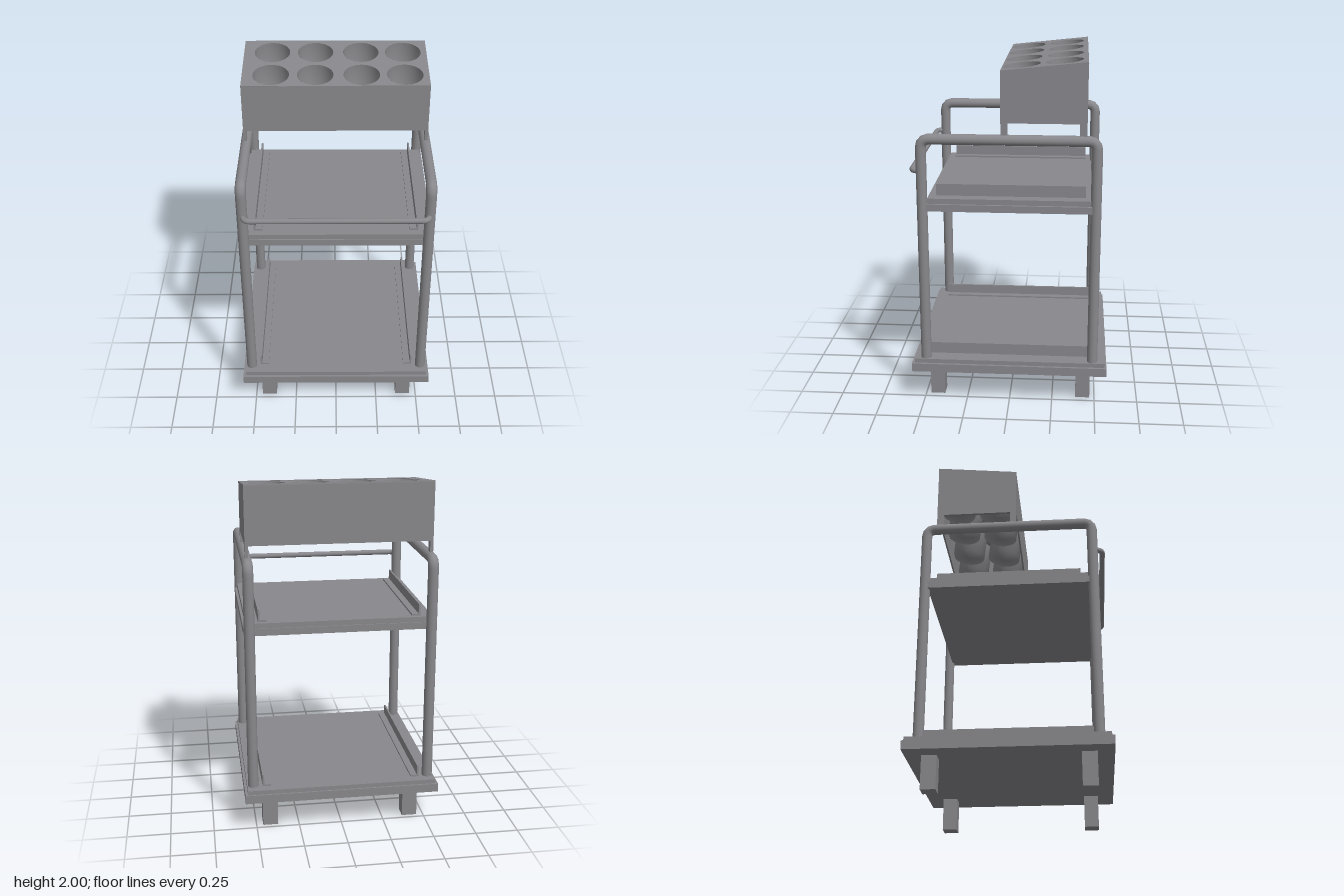
import * as THREE from 'three';

export function createModel() {
  const model = new THREE.Group();
  const grey = new THREE.MeshStandardMaterial({ color: 0x88878b, side: THREE.DoubleSide });
  grey.name = 'steel grey';

  const add = (name, geometry, parent = model) => {
    const mesh = new THREE.Mesh(geometry, grey);
    mesh.name = name;
    parent.add(mesh);
    return mesh;
  };
  // Box given by its limits on each axis
  const box = (name, x0, x1, y0, y1, z0, z1, parent) => {
    const mesh = add(name, new THREE.BoxGeometry(x1 - x0, y1 - y0, z1 - z0), parent);
    mesh.position.set((x0 + x1) / 2, (y0 + y1) / 2, (z0 + z1) / 2);
    return mesh;
  };
  // Pipe through points, with each inner corner rounded by a bend
  const pipe = (name, points, radius, bend) => {
    const path = new THREE.CurvePath();
    const pts = points.map(p => new THREE.Vector3(...p));
    let from = pts[0];
    for (let i = 1; i < pts.length - 1; i++) {
      const toward = j => pts[j].clone().sub(pts[i]).setLength(bend).add(pts[i]);
      const a = toward(i - 1), b = toward(i + 1);
      path.add(new THREE.LineCurve3(from, a));
      path.add(new THREE.QuadraticBezierCurve3(a, pts[i], b));
      from = b;
    }
    path.add(new THREE.LineCurve3(from, pts[pts.length - 1]));
    return add(name, new THREE.TubeGeometry(path, 160, radius, 20, false));
  };

  // Shelves: a wide tray edge with a slightly smaller plate on top
  box('baseShelf', -0.565, 0.565, 0.19, 0.24, -0.565, 0.565);
  box('baseShelfTop', -0.55, 0.55, 0.24, 0.265, -0.555, 0.55);
  box('upperShelf', -0.545, 0.545, 1.165, 1.205, -0.462, 0.462);
  box('upperShelfTop', -0.53, 0.53, 1.205, 1.235, -0.455, 0.455);

  for (const side of [-1, 1]) {
    // Feet
    for (const end of [-1, 1]) {
      const foot = add('foot', new THREE.BoxGeometry(0.088, 0.19, 0.084));
      foot.position.set(side * 0.417, 0.095, end * 0.43);
    }
    // Side frame bent from one pipe
    pipe('sideFrame', [
      [side * 0.515, 0.26, 0.485], [side * 0.515, 1.57, 0.485],
      [side * 0.515, 1.57, -0.482], [side * 0.515, 0.26, -0.482],
    ], 0.03, 0.05);
    // Angle rails: a flat foot and an upright outer flange
    for (const [y, z0, z1] of [[0.265, -0.5, 0.48], [1.235, -0.425, 0.412]]) {
      const flat = box('railFoot', -0.023, 0.023, y, y + 0.01, z0, z1);
      flat.position.x = side * 0.436;
      const flange = box('railFlange', -0.005, 0.005, y, y + 0.067, z0, z1);
      flange.position.x = side * 0.457;
    }
  }

  // Push handle across the front
  pipe('handle', [
    [-0.51, 1.39, 0.49], [-0.505, 1.39, 0.54], [0.505, 1.39, 0.54], [0.51, 1.39, 0.49],
  ], 0.016, 0.035);

  // Cup holder: open-bottomed shell standing on the side frames
  const holder = new THREE.Group();
  holder.name = 'cupHolder';
  model.add(holder);
  box('holderFront', -0.525, 0.525, 1.665, 1.948, 0.035, 0.045, holder);
  box('holderBack', -0.525, 0.525, 1.665, 1.998, -0.425, -0.415, holder);

  // End panels with two legs each, drawn in z and y
  const profile = new THREE.Shape([
    [0.045, 1.59], [0.045, 1.95], [-0.425, 2], [-0.425, 1.59],
    [-0.385, 1.59], [-0.385, 1.665], [0.007, 1.665], [0.007, 1.59],
  ].map(([z, y]) => new THREE.Vector2(-z, y)));
  for (const x of [-0.525, 0.507]) {
    const panel = add('holderEnd', new THREE.ExtrudeGeometry(profile, { depth: 0.018, bevelEnabled: false }), holder);
    panel.rotation.y = Math.PI / 2;
    panel.position.x = x;
  }

  // Sloping top with eight holes and a cup hung in each
  const tilt = Math.atan2(0.05, 0.47);
  const top = new THREE.Group();
  top.name = 'holderTop';
  top.position.set(0, 1.975, -0.19);
  top.rotation.x = tilt - Math.PI / 2;
  holder.add(top);

  const half = 0.2363, radius = 0.102, depth = 0.23;
  const plate = new THREE.Shape([
    new THREE.Vector2(-0.525, -half), new THREE.Vector2(0.525, -half),
    new THREE.Vector2(0.525, half), new THREE.Vector2(-0.525, half),
  ]);
  const cup = new THREE.LatheGeometry([
    new THREE.Vector2(0, -depth), new THREE.Vector2(radius, -depth + 0.012), new THREE.Vector2(radius, 0),
  ], 32);
  for (const x of [-0.362, -0.114, 0.147, 0.389]) {
    for (const s of [-0.126, 0.108]) {
      plate.holes.push(new THREE.Path().absarc(x, s, radius, 0, Math.PI * 2, true));
      const mesh = add('cup', cup, top);
      mesh.rotation.x = Math.PI / 2;
      mesh.position.set(x, s, 0);
    }
  }
  const sheet = add('topPlate', new THREE.ExtrudeGeometry(plate, { depth: 0.008, bevelEnabled: false, curveSegments: 32 }), top);
  sheet.position.z = -0.008;

  return model;
}
